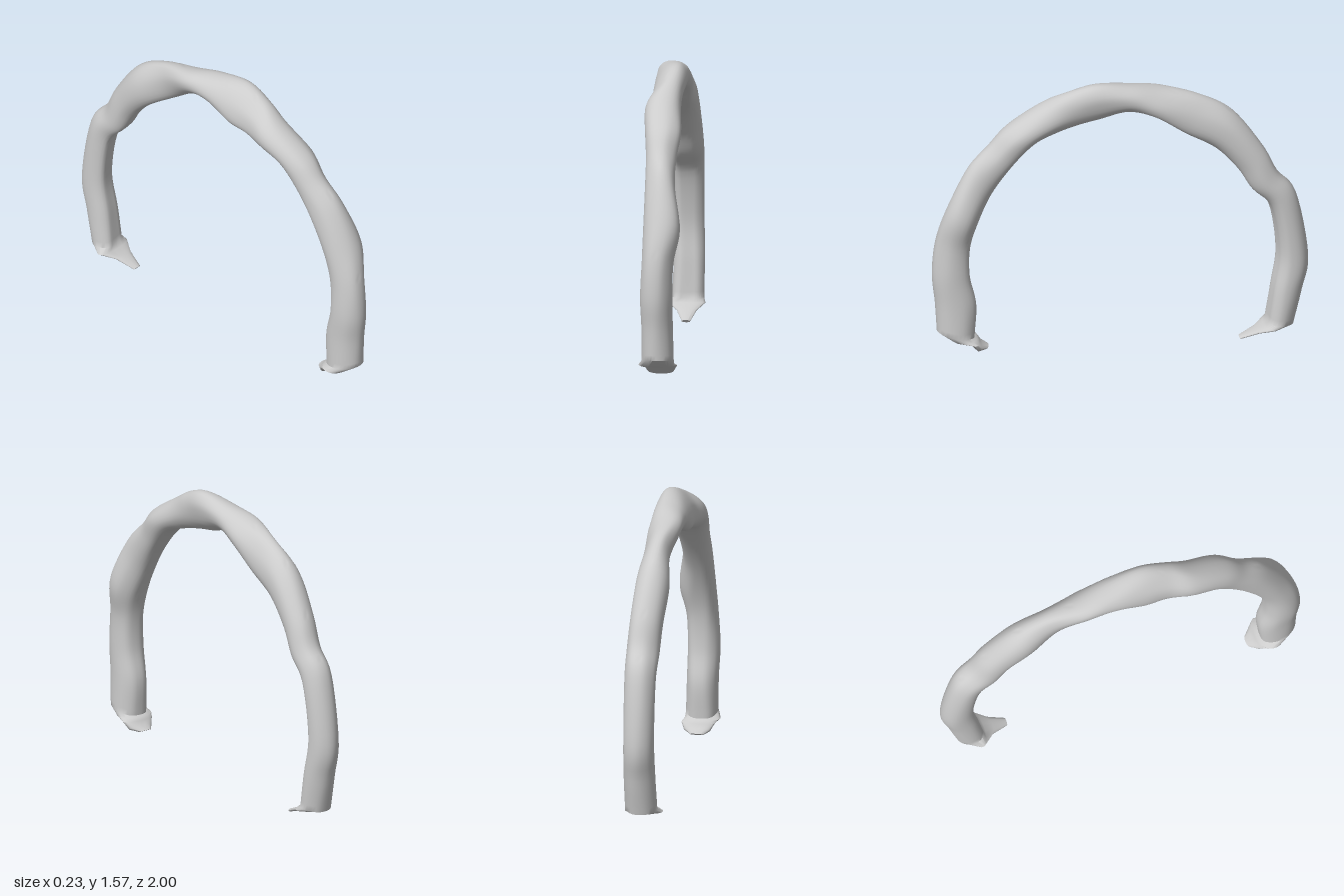
import * as THREE from 'three';
import { toCreasedNormals } from 'three/addons/utils/BufferGeometryUtils.js';

// Arch stations: outer z, y | inner z, y | x min, x max | sideways shift of the outer ridge
const STATIONS = [
  [0.975, 0.165, 0.765, 0.12, -0.08, 0.09, 0],
  [0.985, 0.33, 0.755, 0.31, -0.08, 0.085, 0],
  [1.0, 0.5, 0.79, 0.48, -0.085, 0.085, 0],
  [0.98, 0.7, 0.79, 0.65, -0.078, 0.09, 0],
  [0.92, 0.9, 0.755, 0.79, -0.075, 0.12, 0.01],
  [0.81, 1.12, 0.68, 0.95, -0.075, 0.085, 0.01],
  [0.7, 1.235, 0.57, 1.115, -0.08, 0.08, 0],
  [0.6, 1.34, 0.45, 1.245, -0.095, 0.095, 0],
  [0.41, 1.46, 0.34, 1.29, -0.11, 0.08, 0],
  [0.28, 1.53, 0.22, 1.32, -0.085, 0.075, 0.02],
  [0.13, 1.575, 0.1, 1.34, -0.085, 0.08, 0.035],
  [-0.06, 1.55, -0.04, 1.39, -0.09, 0.085, 0.015],
  [-0.22, 1.515, -0.18, 1.365, -0.09, 0.085, -0.025],
  [-0.42, 1.46, -0.34, 1.25, -0.065, 0.075, -0.02],
  [-0.6, 1.355, -0.5, 1.14, -0.095, 0.08, 0],
  [-0.76, 1.14, -0.61, 1.02, -0.085, 0.085, 0.01],
  [-0.835, 0.99, -0.68, 0.89, -0.08, 0.09, 0.01],
  [-0.935, 0.85, -0.775, 0.77, -0.08, 0.085, 0],
  [-1.0, 0.48, -0.81, 0.52, -0.08, 0.08, 0],
  [-0.965, 0.28, -0.78, 0.3, -0.08, 0.085, 0],
  [-0.92, 0.085, -0.755, 0.11, -0.085, 0.085, 0],
];
// Torn flaps that close each foot and curl inwards
const FRONT_FLAP = [
  [0.73, 0.045, 0.7, 0.06, -0.03, 0.04, 0],
  [0.77, 0.05, 0.735, 0.08, -0.06, 0.08, 0],
  [0.81, 0.1, 0.75, 0.1, -0.08, 0.1, 0],
  [0.9, 0.11, 0.76, 0.115, -0.1, 0.09, 0],
];
const BACK_FLAP = [
  [-0.84, 0.07, -0.76, 0.085, -0.11, 0.095, 0],
  [-0.75, 0.045, -0.71, 0.055, -0.05, 0.055, 0],
  [-0.64, 0.006, -0.63, 0.02, -0.015, 0.03, 0],
];
const SIDES = 32;
const STEPS = 120;

// One closed cross-section, wound from the outer ridge towards +x
function ring([oz, oy, iz, iy, x0, x1, roll], t, detail) {
  const points = [];
  // the back leg has an open channel with one lip longer than the other
  const channel = THREE.MathUtils.smoothstep(t, 0.72, 0.88) * detail;
  for (let j = 0; j < SIDES; j++) {
    const a = (j / SIDES) * Math.PI * 2;
    const c = Math.cos(a), s = Math.sin(a);
    // folds that wander around the flanks along the arch
    const fold = 1 - 0.07 * detail * s * s * (1 + Math.sin(t * 36 + 3 * a));
    const radial = (Math.sign(c) * Math.abs(c) ** 0.9
      + 0.1 * detail * Math.max(0, -c) ** 8
      + channel * (0.2 * Math.max(0, -c) ** 8 + 0.4 * Math.max(0, s) * Math.max(0, -c))) * fold;
    const k = (1 + radial) / 2;
    const across = Math.sign(s) * Math.abs(s) ** 0.9 * (1 - 0.08 * detail * c * c * (1 + Math.sin(t * 29 - 2 * a)));
    points.push(new THREE.Vector3(
      (x0 + x1) / 2 + across * (x1 - x0) / 2 + roll * c,
      iy + (oy - iy) * k,
      iz + (oz - iz) * k));
  }
  return points;
}

// Smooth closed skin through a list of rings
function loft(rings) {
  const position = [], index = [];
  rings.forEach(r => r.forEach(p => position.push(p.x, p.y, p.z)));
  for (let i = 0; i < rings.length - 1; i++) {
    for (let j = 0; j < SIDES; j++) {
      const n = (j + 1) % SIDES;
      const a = i * SIDES + j, b = i * SIDES + n;
      index.push(a, b, b + SIDES, a, b + SIDES, a + SIDES);
    }
  }
  // end caps
  const last = (rings.length - 1) * SIDES;
  for (let j = 1; j < SIDES - 1; j++) {
    index.push(0, j + 1, j, last, last + j, last + j + 1);
  }
  const geometry = new THREE.BufferGeometry();
  geometry.setAttribute('position', new THREE.Float32BufferAttribute(position, 3));
  geometry.setIndex(index);
  return toCreasedNormals(geometry, 0.85);
}

export function createModel() {
  const curve = pick => new THREE.CatmullRomCurve3(
    STATIONS.map(s => new THREE.Vector3(...pick(s))), false, 'catmullrom', 0.5);
  const outer = curve(s => [s[6], s[1], s[0]]);
  const inner = curve(s => [0, s[3], s[2]]);
  const width = curve(s => [s[4], s[5], 0]);

  const rings = FRONT_FLAP.map(s => ring(s, 0, 0));
  for (let i = 0; i <= STEPS; i++) {
    const t = i / STEPS;
    const o = outer.getPoint(t), n = inner.getPoint(t), w = width.getPoint(t);
    rings.push(ring([o.z, o.y, n.z, n.y, w.x, w.y, o.x], t, 1));
  }
  BACK_FLAP.forEach(s => rings.push(ring(s, 1, 0)));

  const material = new THREE.MeshStandardMaterial({ color: 0xcccccc, side: THREE.DoubleSide });
  const arch = new THREE.Mesh(loft(rings), material);
  arch.name = 'arch';
  const group = new THREE.Group();
  group.name = 'gnarledArch';
  group.add(arch);
  return group;
}
